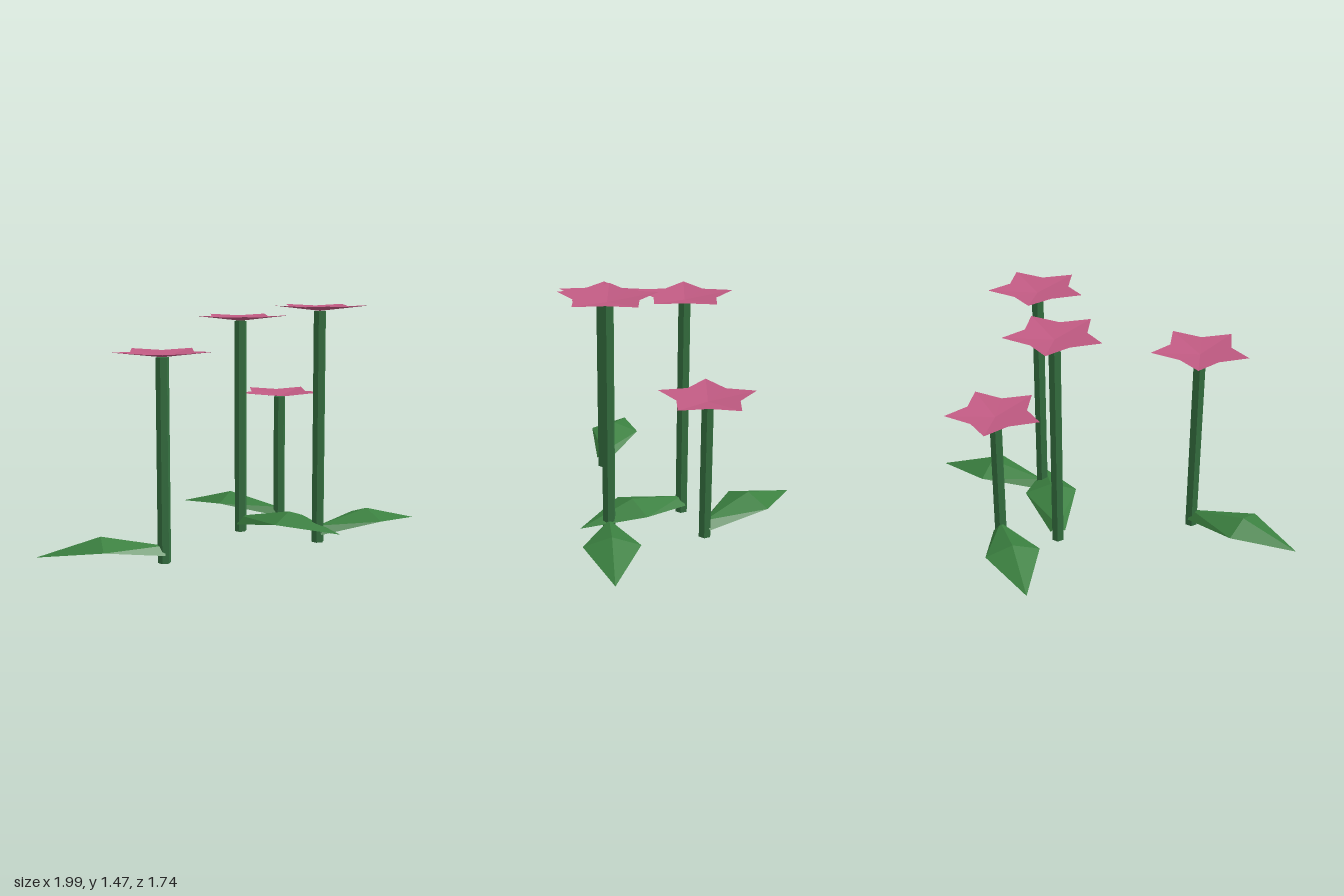
import * as THREE from 'three';

const material = (name, color, extra = {}) => {
  const m = new THREE.MeshStandardMaterial({ flatShading: true, ...extra });
  m.name = name;
  m.color.set(color);
  return m;
};

// Flat-faced sheet from corner points and triangles
function sheet(points, triangles) {
  const g = new THREE.BufferGeometry();
  g.setAttribute('position', new THREE.Float32BufferAttribute(points.flat(), 3));
  g.setIndex(triangles.flat());
  const flat = g.toNonIndexed();
  flat.computeVertexNormals();
  return flat;
}

// Shallow five-pointed blossom: low centre, raised tips and notches
function blossomGeometry() {
  const points = [[0, 0, 0]], triangles = [];
  for (let i = 0; i < 10; i++) {
    const a = (i * Math.PI) / 5;
    const tip = i % 2 === 0;
    const r = tip ? 0.3 : 0.19;
    points.push([r * Math.cos(a), tip ? 0.035 : 0.027, r * Math.sin(a)]);
    triangles.push([0, 1 + ((i + 1) % 10), 1 + i]);
  }
  return sheet(points, triangles);
}

// Arched leaf along +x: raised midrib, lower sides, pointed end
function leafGeometry() {
  const points = [
    [0, 0.1, 0], [0.365, 0.175, 0], [0.73, 0.075, 0], // midrib
    [0, 0.05, 0.045], [0.365, 0.12, 0.165],           // one edge
    [0, 0.05, -0.045], [0.365, 0.12, -0.165],         // other edge
  ];
  return sheet(points, [
    [0, 3, 4], [0, 4, 1], [1, 4, 2],
    [0, 6, 5], [0, 1, 6], [1, 2, 6],
  ]);
}

export function createModel() {
  const stemGreen = material('stem green', 0x357040);
  const leafGreen = material('leaf green', 0x3b8040, { side: THREE.DoubleSide });
  const pink = material('petal pink', 0xc05a82, { side: THREE.DoubleSide });
  const blossomGeo = blossomGeometry();
  const leafGeo = leafGeometry();

  // position, blossom centre height and leaf direction of each plant
  const plants = [
    { x: -0.345, z: 0.545, h: 1.19, dx: -0.655, dz: 0.325 },
    { x: -0.09, z: -0.283, h: 1.36, dx: 0.94, dz: 0.34 },
    { x: 0.103, z: -0.587, h: 0.85, dx: -0.7, dz: -0.155 },
    { x: 0.441, z: -0.13, h: 1.432, dx: 0.55, dz: -0.48 },
  ];

  const model = new THREE.Group();
  model.name = 'flowers';
  for (const { x, z, h, dx, dz } of plants) {
    const plant = new THREE.Group();
    plant.name = 'flower';
    plant.position.set(x, 0, z);

    const stem = new THREE.Mesh(new THREE.CylinderGeometry(0.039, 0.039, h, 6), stemGreen);
    stem.name = 'stem';
    stem.position.y = h / 2;

    const blossom = new THREE.Mesh(blossomGeo, pink);
    blossom.name = 'blossom';
    blossom.position.y = h + 0.001;

    const leaf = new THREE.Mesh(leafGeo, leafGreen);
    leaf.name = 'leaf';
    leaf.rotation.y = -Math.atan2(dz, dx);

    plant.add(stem, blossom, leaf);
    model.add(plant);
  }
  return model;
}
